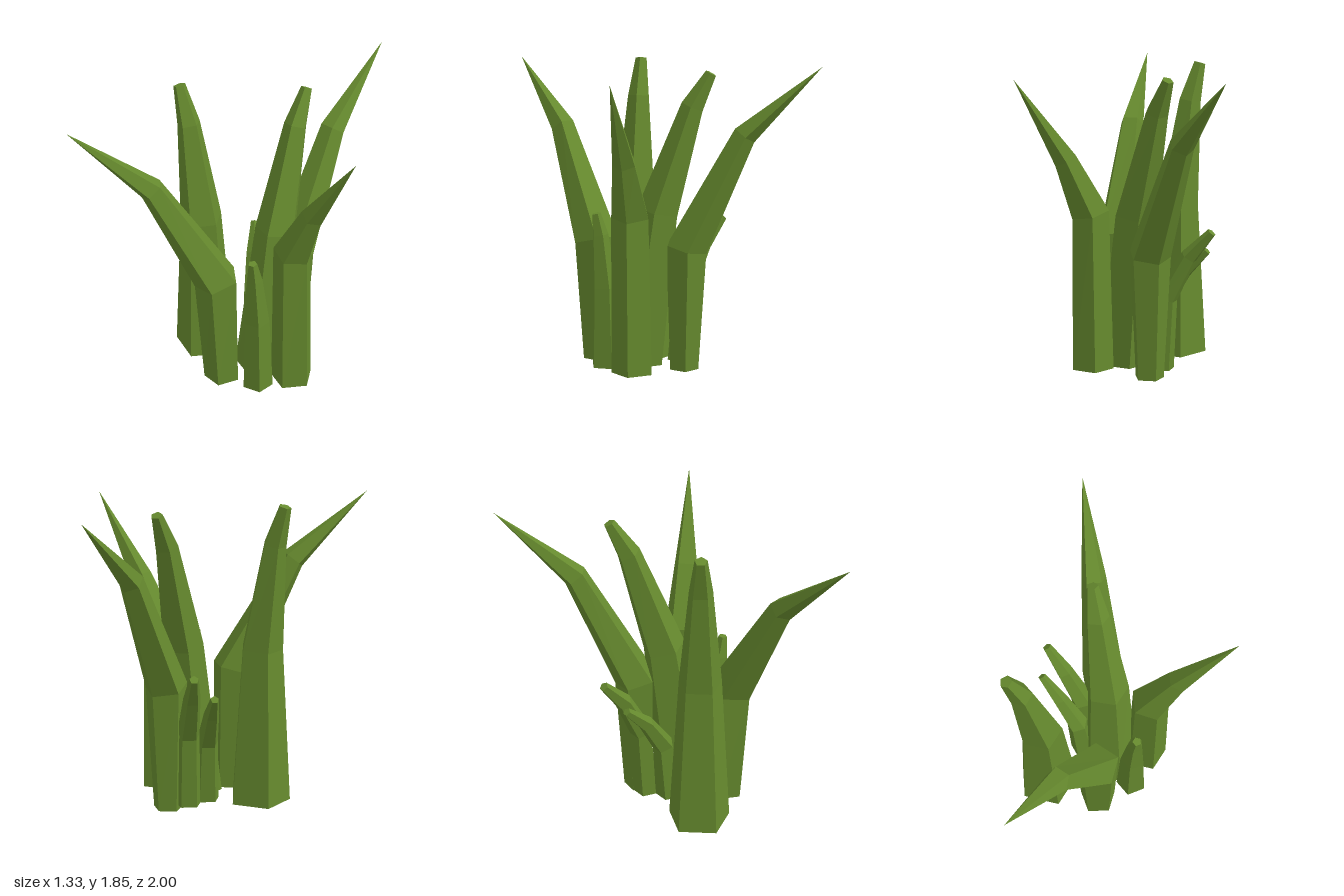
import * as THREE from 'three';

const SIDES = 5;
const UP = new THREE.Vector3(0, 1, 0);

// Each blade: phase of its five-sided section in degrees (from +x towards +z),
// then rings from the ground up as [x, y, z, radius]; radius 0 is a pointed tip.
const BLADES = {
  leftStoutBlade: [0, [[-0.465, 0.03, 0.195, 0.19], [-0.47, 0.97, 0.195, 0.13],
    [-0.553, 1.6, 0.198, 0.07], [-0.622, 1.83, 0.2, 0.037]]],
  frontPointedBlade: [128, [[-0.15, 0.02, 0.345, 0.112], [-0.15, 0.76, 0.37, 0.138],
    [-0.38, 1.42, 0.645, 0.075], [-0.67, 1.82, 1.0, 0]]],
  rightPointedBlade: [0, [[0.175, 0.03, 0.06, 0.13], [0.185, 0.98, 0.067, 0.118],
    [0.345, 1.315, 0.067, 0.071], [0.664, 1.8, 0.068, 0]]],
  backPointedBlade: [-90, [[-0.08, 0, -0.195, 0.09], [-0.074, 0.75, -0.205, 0.13],
    [-0.1, 1.445, -0.55, 0.075], [-0.13, 1.85, -1.0, 0]]],
  middleStoutBlade: [70, [[-0.056, 0.03, 0.09, 0.17], [-0.06, 0.97, -0.04, 0.13],
    [-0.1, 1.6, -0.238, 0.071], [-0.118, 1.8, -0.345, 0.035]]],
  frontShortBlade: [36, [[0.07, 0.03, 0.255, 0.095], [0.075, 0.52, 0.26, 0.077],
    [0.083, 0.84, 0.285, 0.05], [0.092, 0.97, 0.305, 0.027]]],
  backShortBlade: [47, [[-0.19, 0.03, -0.14, 0.08], [-0.21, 0.47, -0.165, 0.07],
    [-0.31, 0.73, -0.26, 0.053], [-0.405, 0.89, -0.365, 0.028]]],
  sideShortBlade: [47, [[-0.22, 0.03, 0, 0.08], [-0.25, 0.4, -0.03, 0.066],
    [-0.35, 0.61, -0.125, 0.048], [-0.45, 0.75, -0.23, 0.025]]],
};

function bladeGeometry(phase, rings) {
  const centres = rings.map(([x, y, z]) => new THREE.Vector3(x, y, z));
  const direction = i => centres[i + 1].clone().sub(centres[i]).normalize();
  const last = rings.length - 1;

  // Tilt every ring to the bisector of the neighbouring segments
  const points = rings.map(([, , , radius], i) => {
    let normal = UP.clone();
    if (i === last) normal = direction(i - 1);
    else if (i > 0) normal = direction(i - 1).add(direction(i)).normalize();
    const tilt = new THREE.Quaternion().setFromUnitVectors(UP, normal);
    return Array.from({ length: SIDES }, (_, j) => {
      const a = THREE.MathUtils.degToRad(phase) + (j * Math.PI * 2) / SIDES;
      return new THREE.Vector3(Math.cos(a) * radius, 0, Math.sin(a) * radius)
        .applyQuaternion(tilt).add(centres[i]);
    });
  });

  const positions = [];
  const triangle = (...corners) => corners.forEach(p => positions.push(p.x, p.y, p.z));
  for (let j = 0; j < SIDES; j++) {
    const k = (j + 1) % SIDES;
    // Sides
    for (let i = 0; i < last; i++) {
      const a = points[i][j], b = points[i][k];
      const c = points[i + 1][k], d = points[i + 1][j];
      triangle(a, d, b);
      if (rings[i + 1][3] > 0) triangle(b, d, c);
    }
    // Foot and blunt top
    triangle(centres[0], points[0][j], points[0][k]);
    if (rings[last][3] > 0) triangle(centres[last], points[last][k], points[last][j]);
  }
  const geometry = new THREE.BufferGeometry();
  geometry.setAttribute('position', new THREE.Float32BufferAttribute(positions, 3));
  geometry.computeVertexNormals(); // unshared corners give flat facets
  return geometry;
}

export function createModel() {
  const group = new THREE.Group();
  group.name = 'grassTuft';
  const green = new THREE.MeshStandardMaterial({ color: 0x668a2e });
  green.name = 'grassGreen';
  for (const [name, [phase, rings]] of Object.entries(BLADES)) {
    const blade = new THREE.Mesh(bladeGeometry(phase, rings), green);
    blade.name = name;
    group.add(blade);
  }
  return group;
}
